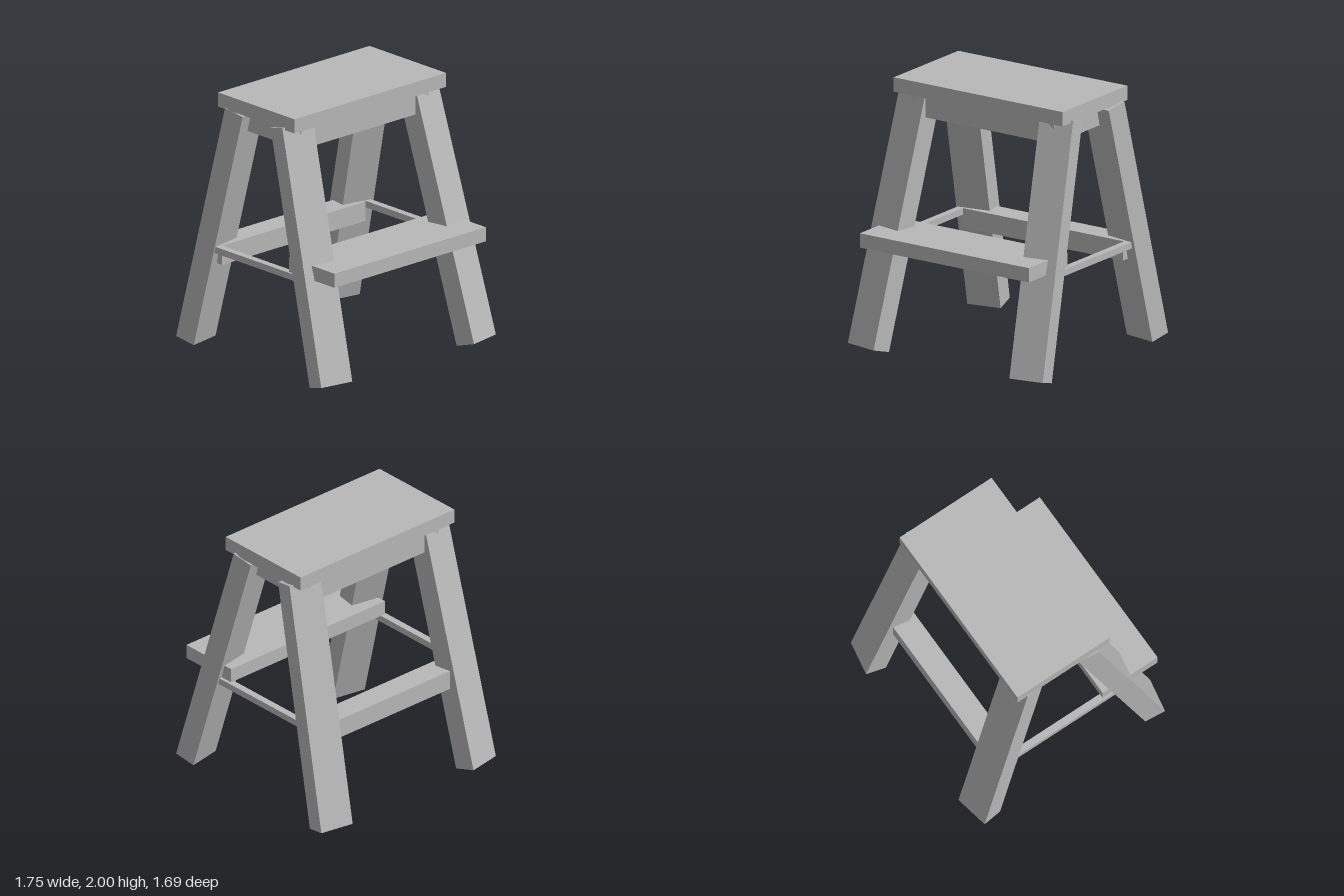
import * as THREE from 'three';

export function createModel() {
  const model = new THREE.Group();
  model.name = 'stepStool';
  const grey = new THREE.MeshStandardMaterial({ color: 0xb8b8b8 });
  grey.name = 'plain grey';

  // Straight board given by its extents on each axis
  function board(name, x0, x1, y0, y1, z0, z1) {
    const mesh = new THREE.Mesh(new THREE.BoxGeometry(x1 - x0, y1 - y0, z1 - z0), grey);
    mesh.position.set((x0 + x1) / 2, (y0 + y1) / 2, (z0 + z1) / 2);
    mesh.name = name;
    model.add(mesh);
  }

  // Splayed leg: (x, z) is the middle of the lower edge of its outer face
  const width = 0.27, thick = 0.165, yaw = 0.183;
  function leg(name, x, z, sx, sz, tilt) {
    const length = 1.865 / Math.cos(tilt);
    const geometry = new THREE.BoxGeometry(width, length, thick);
    geometry.translate(0, length / 2, -sz * thick / 2);
    const mesh = new THREE.Mesh(geometry, grey);
    mesh.rotation.set(-sz * tilt, sx * sz * yaw, 0, 'YXZ');
    mesh.position.set(x, thick * Math.sin(tilt), z);
    mesh.name = name;
    model.add(mesh);
  }

  // Seat and the frame under it
  board('seat', -0.76, 0.76, 1.89, 2, -0.44, 0.38);
  board('frontApron', -0.64, 0.64, 1.72, 1.89, 0.22, 0.32);
  board('backApron', -0.64, 0.64, 1.72, 1.89, -0.4, -0.3);
  board('leftApron', 0.54, 0.64, 1.72, 1.89, -0.3, 0.22);
  board('rightApron', -0.64, -0.54, 1.72, 1.89, -0.3, 0.22);

  // Legs
  leg('frontLeftLeg', 0.742, 0.82, 1, 1, 0.278);
  leg('frontRightLeg', -0.745, 0.82, -1, 1, 0.278);
  leg('backLeftLeg', 0.742, -0.82, 1, -1, 0.235);
  leg('backRightLeg', -0.717, -0.82, -1, -1, 0.235);

  // Step and lower rails
  board('step', -0.76, 0.76, 0.8, 0.91, 0.32, 0.81);
  board('backRail', -0.72, 0.72, 0.65, 0.8, -0.63, -0.44);
  board('leftRail', 0.73, 0.785, 0.75, 0.8, -0.55, 0.52);
  board('rightRail', -0.775, -0.72, 0.75, 0.8, -0.55, 0.52);

  return model;
}
